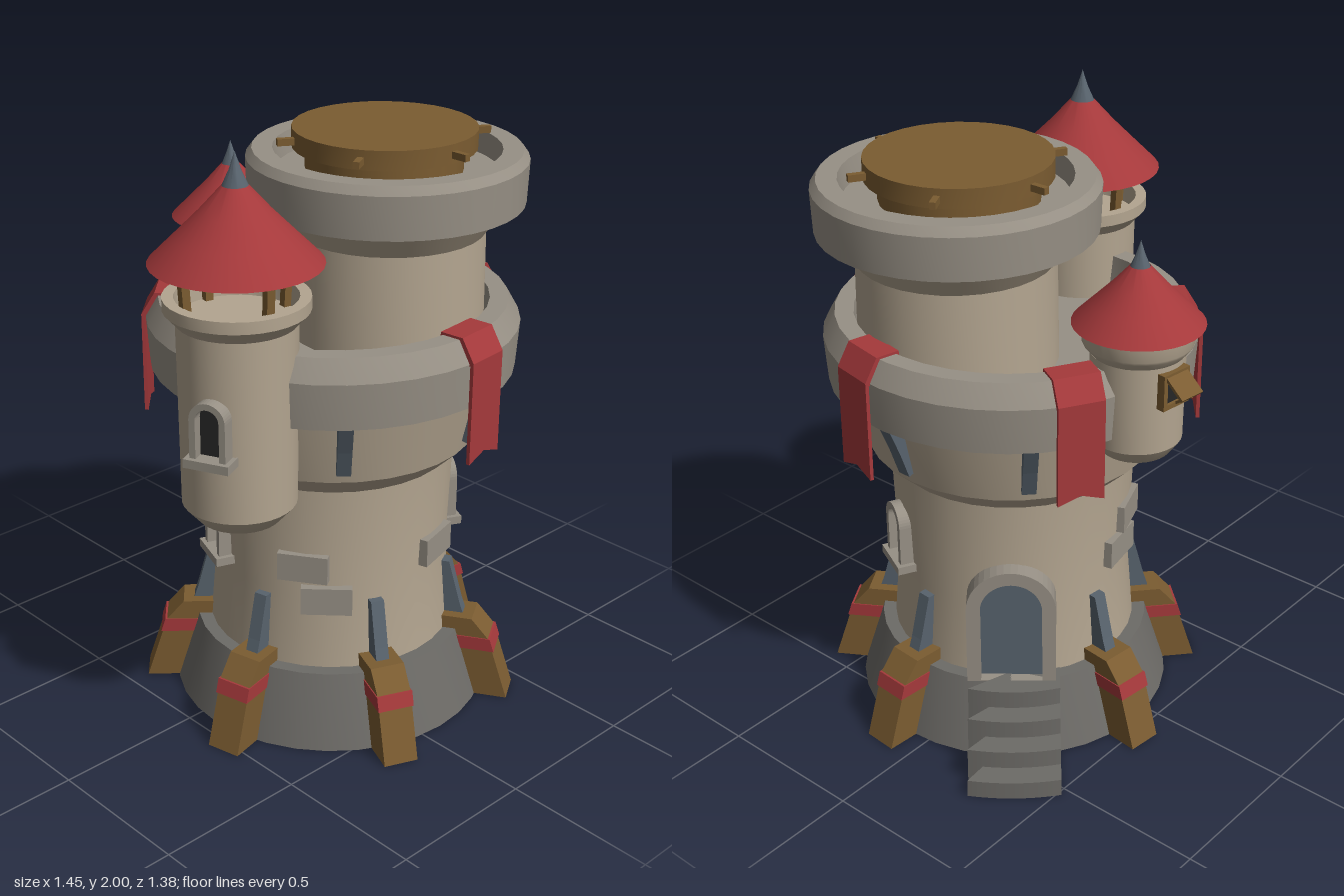
import * as THREE from 'three';
import { toCreasedNormals } from 'three/addons/utils/BufferGeometryUtils.js';

const mat = (color) => new THREE.MeshStandardMaterial({ color, side: THREE.DoubleSide });
const WALL = mat(0xb3a590), TRIM = mat(0x979085), STONE = mat(0x6d6b67), WOOD = mat(0x7b5c31);
const RED = mat(0xa5393b), SLATE = mat(0x58636d), DARK = mat(0x262626);
const RAD = Math.PI / 180;

function add(parent, name, geo, material, x = 0, y = 0, z = 0) {
  const m = new THREE.Mesh(geo, material);
  m.name = name;
  m.position.set(x, y, z);
  parent.add(m);
  return m;
}

function group(parent, name, x = 0, z = 0) {
  const g = new THREE.Group();
  g.name = name;
  g.position.set(x, 0, z);
  parent.add(g);
  return g;
}

// Group whose local +x points outward at the given azimuth (0 = +x, 90 = +z)
function radial(parent, name, deg) {
  const g = group(parent, name);
  g.rotation.y = -deg * RAD;
  return g;
}

const lathe = (pts, seg = 32) =>
  toCreasedNormals(new THREE.LatheGeometry(pts.map((p) => new THREE.Vector2(...p)), seg), 0.5);

const polygon = (pts) => new THREE.Shape(pts.map((p) => new THREE.Vector2(...p)));

const extrude = (shape, depth) =>
  new THREE.ExtrudeGeometry(shape, { depth, bevelEnabled: false, curveSegments: 10 });

// Radius/height outline given a tangential width
const slab = (pts, width) => extrude(polygon(pts), width).translate(0, 0, -width / 2);

// Upright outline facing outward along local +x
const facing = (shape, depth) => extrude(shape, depth).rotateY(Math.PI / 2);

function arch(Type, halfWidth, y0, top) {
  const s = new Type();
  s.moveTo(-halfWidth, y0);
  s.lineTo(halfWidth, y0);
  s.lineTo(halfWidth, top - halfWidth);
  s.absarc(0, top - halfWidth, halfWidth, 0, Math.PI, false);
  s.lineTo(-halfWidth, y0);
  return s;
}

// Arched opening: frame with a hole, recessed panel, optional sill
function opening(parent, name, deg, r, half, y0, top, rim, panel, sill) {
  const g = radial(parent, name, deg);
  const frame = arch(THREE.Shape, half, y0, top);
  frame.holes.push(arch(THREE.Path, half - rim, y0 + 0.003, top - rim));
  add(g, 'frame', facing(frame, 0.1), TRIM, r - 0.06);
  add(g, 'panel', facing(arch(THREE.Shape, half - rim, y0, top - rim), 0.06), panel, r - 0.055);
  if (sill) add(g, 'sill', new THREE.BoxGeometry(0.1, 0.028, half * 2 + 0.03), TRIM, r + 0.005, y0);
}

// Concave conical roof with a metal tip
function roof(parent, r, y0, y1, y2) {
  const h = y1 - y0;
  add(parent, 'roof', lathe([[0, y0 + 0.05], [r, y0], [r * 0.7, y0 + h * 0.34],
    [r * 0.42, y0 + h * 0.66], [r * 0.15, y1]]), RED);
  add(parent, 'roofTip', lathe([[r * 0.17, y1 - 0.012], [r * 0.07, y1 + (y2 - y1) * 0.45], [0, y2]], 12), SLATE);
}

export function createModel() {
  const model = new THREE.Group();
  model.name = 'tower';
  const main = group(model, 'mainTower', 0.08, 0.075);

  // Base drum, flared body and walkway parapet
  add(main, 'base', lathe([[0, 0], [0.53, 0], [0.455, 0.245], [0.3, 0.245]]), STONE);
  add(main, 'body', lathe([[0.415, 0.2], [0.39, 0.5], [0.403, 0.88], [0.475, 0.95], [0.53, 1.2]]), WALL);
  add(main, 'parapet', lathe([[0.5, 1.18], [0.59, 1.18], [0.6, 1.33], [0.56, 1.4], [0.5, 1.4],
    [0.485, 1.26], [0, 1.26]], 36), TRIM);

  // Wooden buttresses with red bands and slate fins
  for (let i = 0; i < 6; i++) {
    const g = radial(main, 'buttress', 4 + 54.4 * i);
    add(g, 'beam', slab([[0.4, 0], [0.635, 0], [0.565, 0.22], [0.505, 0.29], [0.4, 0.29]], 0.115), WOOD);
    add(g, 'band', slab([[0.42, 0.175], [0.585, 0.175], [0.57, 0.222], [0.42, 0.222]], 0.122), RED);
    add(g, 'fin', slab([[0.37, 0.27], [0.475, 0.27], [0.455, 0.33], [0.415, 0.48], [0.37, 0.48]], 0.045), SLATE);
  }

  // Brackets below the parapet
  for (const a of [130, 73, 1, -47, -100, 188]) {
    add(radial(main, 'bracket', a), 'bracketFin',
      slab([[0.44, 1.0], [0.5, 0.985], [0.535, 1.08], [0.58, 1.185], [0.44, 1.185]], 0.045), SLATE);
  }

  // Banners hung over the parapet
  for (const a of [84, 11, -61, -134]) {
    const g = radial(main, 'banner', a);
    const cloth = polygon([[-0.075, 1.0], [0, 1.025], [0.075, 1.0], [0.075, 1.335], [-0.075, 1.335]]);
    add(g, 'cloth', facing(cloth, 0.012), RED, 0.597);
    add(g, 'strap', slab([[0.59, 1.32], [0.609, 1.335], [0.565, 1.408], [0.485, 1.408],
      [0.475, 1.3], [0.49, 1.3]], 0.15), RED);
  }

  // Door, stairs and windows
  opening(main, 'door', 320, 0.41, 0.145, 0.245, 0.665, 0.045, SLATE, false);
  const stairs = radial(main, 'stairs', 319);
  for (let i = 0; i < 4; i++) {
    const R = 0.74 - 0.075 * i, half = 0.15, t = Math.asin(half / R);
    const s = new THREE.Shape();
    s.moveTo(0.3, -half);
    s.absarc(0, 0, R, -t, t, false);
    s.lineTo(0.3, half);
    const h = 0.062 * (i + 1);
    add(stairs, 'step', extrude(s, h).rotateX(-Math.PI / 2), STONE);
  }
  opening(main, 'window', 26, 0.39, 0.065, 0.54, 0.755, 0.022, DARK, true);
  opening(main, 'window', 200, 0.39, 0.065, 0.54, 0.755, 0.022, DARK, true);

  // Raised wall stones: azimuth, height
  for (const [a, y] of [[75, 0.595], [147, 0.605], [136, 0.49], [248, 0.71], [258, 0.61]]) {
    add(radial(main, 'wallStone', a), 'stone', new THREE.BoxGeometry(0.06, 0.095, 0.165), TRIM, 0.383, y);
  }

  // Upper keep
  const keep = group(model, 'upperTower', 0.237, 0.152);
  add(keep, 'neck', lathe([[0.32, 1.2], [0.314, 1.6], [0.39, 1.71]]), WALL, 0.008);
  add(keep, 'crown', lathe([[0.37, 1.697], [0.44, 1.697], [0.445, 1.835], [0.425, 1.862], [0.36, 1.862],
    [0.35, 1.79], [0, 1.79]], 36), TRIM);
  add(keep, 'hub', new THREE.CylinderGeometry(0.25, 0.25, 0.08, 24), WOOD, 0, 1.825, -0.012);
  add(keep, 'hatch', toCreasedNormals(new THREE.CylinderGeometry(0.292, 0.292, 0.062, 32), 0.5), WOOD, 0, 1.894, -0.012);
  for (let i = 0; i < 6; i++) {
    const g = radial(keep, 'hatchPeg', 30 + 60 * i);
    g.position.z = -0.012;
    add(g, 'peg', new THREE.BoxGeometry(0.09, 0.022, 0.02), WOOD, 0.3, 1.892);
  }

  // Large side turret with open lantern
  const big = group(model, 'largeTurret', -0.462, 0.23);
  add(big, 'turretBody', lathe([[0, 0.815], [0.07, 0.82], [0.13, 0.85], [0.178, 0.905], [0.183, 1.49]]), WALL);
  add(big, 'turretRim', lathe([[0.18, 1.485], [0.21, 1.52], [0.22, 1.53], [0.22, 1.568], [0.185, 1.568],
    [0.18, 1.5], [0, 1.5]]), WALL);
  for (let i = 0; i < 4; i++) {
    const post = add(radial(big, 'post', 10 + 90 * i), 'postBeam', new THREE.BoxGeometry(0.026, 0.22, 0.026), WOOD, 0.175, 1.6);
    post.rotation.z = -0.06;
  }
  roof(big, 0.26, 1.67, 1.9, 2.0);
  opening(big, 'turretWindow', 156, 0.18, 0.058, 1.115, 1.31, 0.02, DARK, true);

  // Small rear turret
  const small = group(model, 'smallTurret', 0.125, -0.467);
  add(small, 'turretBody', lathe([[0, 1.065], [0.06, 1.07], [0.11, 1.095], [0.142, 1.14], [0.145, 1.425]]), WALL);
  add(small, 'turretRim', lathe([[0.14, 1.42], [0.165, 1.45], [0.17, 1.46], [0.17, 1.53], [0, 1.53]]), WALL);
  roof(small, 0.202, 1.515, 1.695, 1.775);

  // Shuttered window: four-bar frame, dark pane, propped flap
  const hatch = radial(small, 'shutterWindow', 276);
  for (const s of [-1, 1]) {
    add(hatch, 'frameSide', new THREE.BoxGeometry(0.04, 0.11, 0.016), WOOD, 0.14, 1.35, s * 0.047);
    add(hatch, 'frameRail', new THREE.BoxGeometry(0.04, 0.016, 0.11), WOOD, 0.14, 1.35 + s * 0.05);
  }
  add(hatch, 'pane', new THREE.BoxGeometry(0.03, 0.09, 0.09), DARK, 0.135, 1.35);
  const flap = add(hatch, 'shutter', new THREE.BoxGeometry(0.01, 0.085, 0.09), WOOD, 0.187, 1.372);
  flap.rotation.z = 0.9;
  const prop = add(hatch, 'shutterProp', new THREE.BoxGeometry(0.008, 0.075, 0.008), WOOD, 0.188, 1.325);
  prop.rotation.z = -0.95;

  return model;
}
